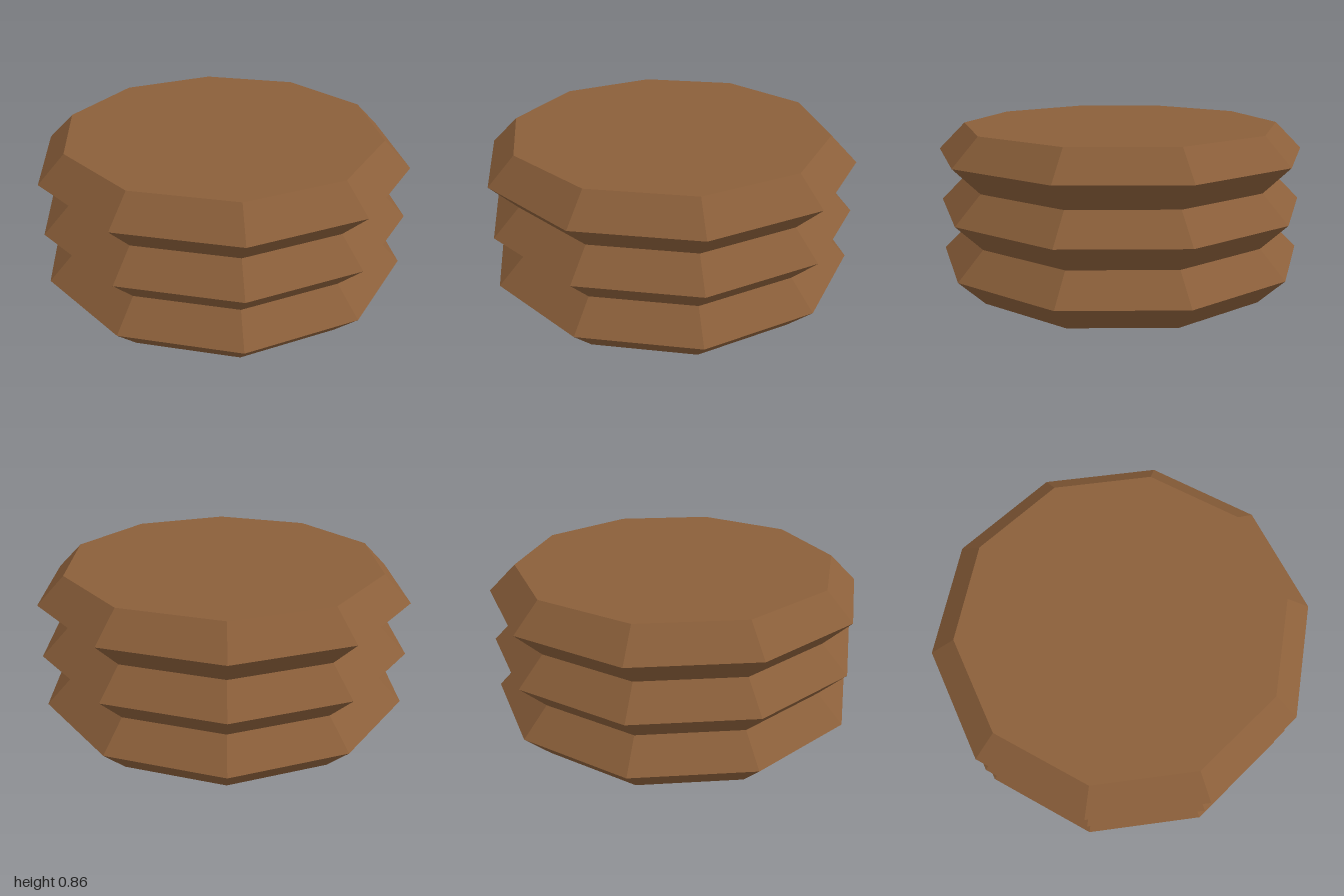
import * as THREE from 'three';

const SIDES = 10;
const LAYERS = 3;
const RIM = 1;          // radius at the sharp edge
const FACE = 0.857;     // radius of the flat faces
const HALF = 0.143;     // half the thickness of one layer

export function createModel() {
  const model = new THREE.Group();
  model.name = 'stackedDiscs';

  const brown = new THREE.MeshStandardMaterial({ color: 0x8b5f3a, flatShading: true });
  brown.name = 'brown';

  // One bevelled ten-sided disc, closed at both ends
  const profile = [
    [0, 0], [FACE, 0], [RIM, HALF], [FACE, 2 * HALF], [0, 2 * HALF],
  ].map(([r, y]) => new THREE.Vector2(r, y));
  const discGeometry = new THREE.LatheGeometry(profile, SIDES);

  // Stack of identical discs
  for (let i = 0; i < LAYERS; i++) {
    const disc = new THREE.Mesh(discGeometry, brown);
    disc.name = ['bottomDisc', 'middleDisc', 'topDisc'][i];
    disc.position.y = i * 2 * HALF;
    model.add(disc);
  }
  return model;
}
